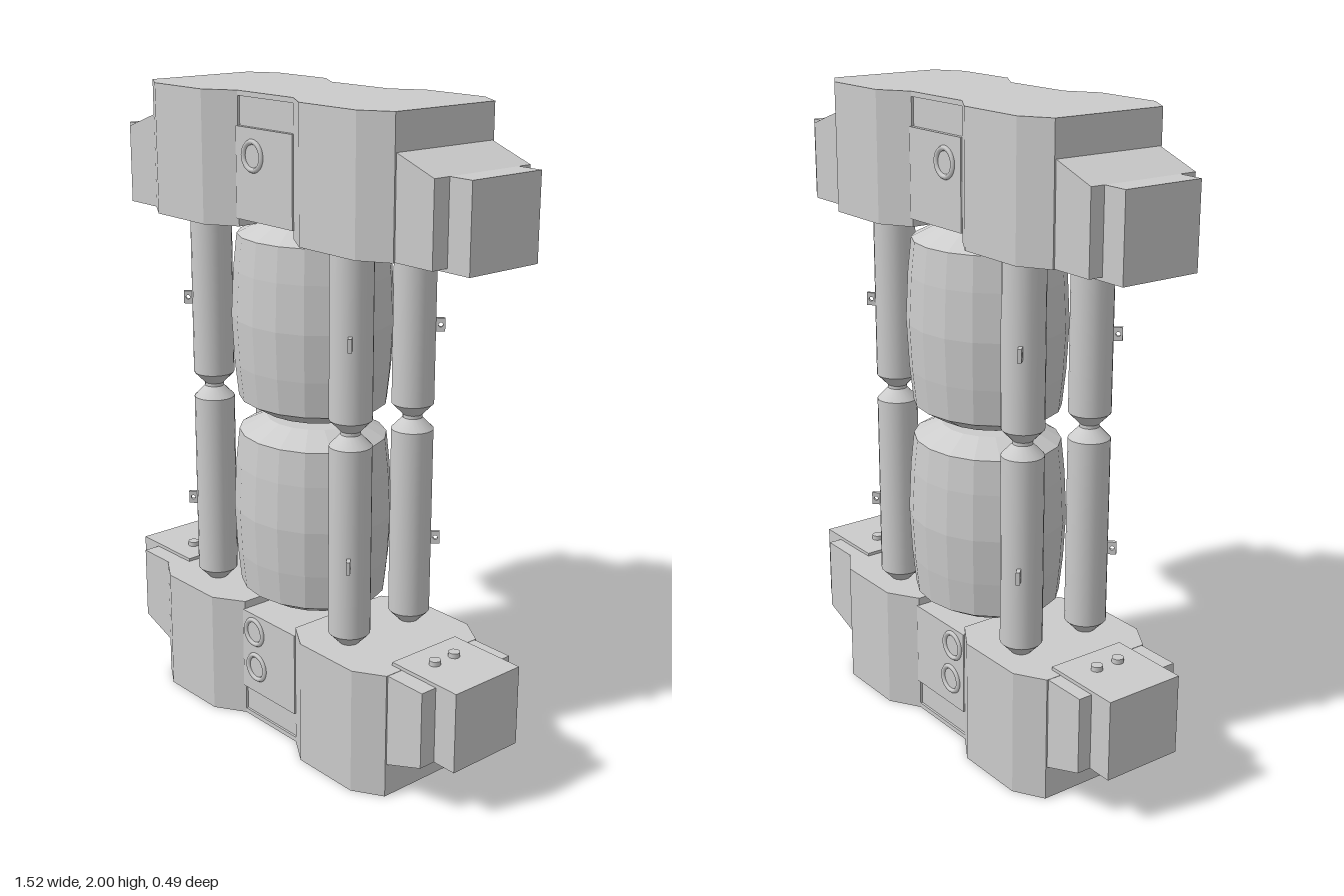
import * as THREE from 'three';

const smooth = new THREE.MeshStandardMaterial({ color: 0xcccccc });
const flat = new THREE.MeshStandardMaterial({ color: 0xcccccc, flatShading: true });

function add(parent, name, geometry, material = flat, x = 0, y = 0, z = 0) {
  const mesh = new THREE.Mesh(geometry, material);
  mesh.name = name;
  mesh.position.set(x, y, z);
  parent.add(mesh);
  return mesh;
}

function extrude(points, depth) {
  const shape = new THREE.Shape(points.map(([x, y]) => new THREE.Vector2(x, y)));
  return new THREE.ExtrudeGeometry(shape, { depth, bevelEnabled: false });
}

const lathe = (points, segments) =>
  new THREE.LatheGeometry(points.map(([r, y]) => new THREE.Vector2(r, y)), segments);

// End block standing on y = 0; rings lists the [x, y] of the port rings
function endBlock(name, rings) {
  const block = new THREE.Group();
  block.name = name;

  add(block, 'centreBody', new THREE.BoxGeometry(0.4, 0.37, 0.345), flat, 0, 0.185, 0);
  add(block, 'centreBase', new THREE.BoxGeometry(0.4, 0.015, 0.36), flat, 0, 0.0075, 0);
  add(block, 'portPlate', new THREE.BoxGeometry(0.255, 0.27, 0.374), flat, 0, 0.235, 0);

  for (const s of [-1, 1]) {
    // Faceted lobe, outlined from above
    const lobe = extrude([
      [0.125, 0.18], [0.22, 0.24], [0.45, 0.24], [0.54, 0.185],
      [0.54, -0.185], [0.45, -0.24], [0.22, -0.24], [0.125, -0.18],
    ].map(([x, z]) => [s * x, z]), 0.395);
    lobe.rotateX(-Math.PI / 2);
    add(block, 'lobe', lobe);

    // Shoulder with a sloping outer face
    const shoulder = extrude([
      [0.4, 0.105], [0.54, 0.105], [0.68, 0.155], [0.68, 0.394], [0.4, 0.394],
    ].map(([x, y]) => [s * x, y]), 0.36);
    add(block, 'shoulder', shoulder, flat, 0, 0, -0.18);

    // End box with its two studs
    add(block, 'endBox', new THREE.BoxGeometry(0.26, 0.25, 0.26), flat, s * 0.63, 0.28, -0.005);
    for (const z of [-0.04, 0.04]) {
      add(block, 'stud', new THREE.CylinderGeometry(0.018, 0.018, 0.02, 12), smooth, s * 0.59, 0.41, z);
    }
  }

  // Port rings on the front and back plates
  for (const [x, y] of rings) {
    for (const s of [-1, 1]) {
      add(block, 'portRing', new THREE.TorusGeometry(0.041, 0.008, 6, 24), smooth, x, y, s * 0.187);
    }
  }
  return block;
}

// Small lug with a hole, lying in the xy plane and reaching along +x
function lugGeometry() {
  const shape = new THREE.Shape([[0, -0.02], [0.04, -0.02], [0.04, 0.02], [0, 0.02]]
    .map(([x, y]) => new THREE.Vector2(x, y)));
  const hole = new THREE.Path();
  hole.absarc(0.027, 0, 0.007, 0, Math.PI * 2, true);
  shape.holes.push(hole);
  return new THREE.ExtrudeGeometry(shape, { depth: 0.012, bevelEnabled: false, curveSegments: 6 })
    .translate(0, 0, -0.006);
}

export function createModel() {
  const model = new THREE.Group();
  model.name = 'pressFrame';

  model.add(endBlock('lowerBlock', [[-0.07, 0.31], [-0.06, 0.19]]));
  const upper = endBlock('upperBlock', [[0.05, 0.18]]);
  upper.rotation.z = Math.PI;
  upper.position.y = 2;
  model.add(upper);

  // Two bulging drums
  const drum = lathe([
    [0, 0], [0.165, 0], [0.24, 0.04], [0.252, 0.15], [0.26, 0.295],
    [0.252, 0.44], [0.24, 0.545], [0.15, 0.59], [0, 0.59],
  ], 18);
  for (const y of [0.415, 1.03]) {
    add(model, 'drum', drum, flat, -0.02, y, -0.015).scale.set(1.02, 1, 0.9);
  }

  // Four columns, each with a lower and an upper rod that taper to meet
  const taper = [[0.03, 0], [0.064, 0.035]];
  const lowerSide = lathe([[0.064, 0.035], [0.064, 0.625]], 20);
  const upperSide = lathe([[0.064, 0.035], [0.064, 0.555]], 20);
  const cone = lathe(taper, 20);
  const lug = lugGeometry();
  for (const x of [-0.35, 0.3]) {
    for (const z of [-0.133, 0.115]) {
      const column = new THREE.Group();
      column.name = 'column';
      column.position.set(x, 0, z);
      add(column, 'lowerRod', lowerSide, smooth, 0, 0.395, 0);
      add(column, 'lowerRodFoot', cone, smooth, 0, 0.395, 0);
      add(column, 'lowerRodTip', cone, smooth, 0, 1.055, 0).rotation.z = Math.PI;
      add(column, 'upperRod', upperSide, smooth, 0, 1.065, 0);
      add(column, 'upperRodTip', cone, smooth, 0, 1.065, 0);
      add(column, 'joint', new THREE.CylinderGeometry(0.03, 0.03, 0.03, 16), smooth, 0, 1.06, 0);

      // Lugs pointing diagonally outward
      for (const y of [0.67, 1.34]) {
        const angle = Math.atan2(-Math.sign(z), Math.sign(x));
        const mesh = add(column, 'lug', lug, flat, 0.05 * Math.cos(angle), y, -0.05 * Math.sin(angle));
        mesh.rotation.y = angle;
      }
      model.add(column);
    }
  }
  return model;
}
